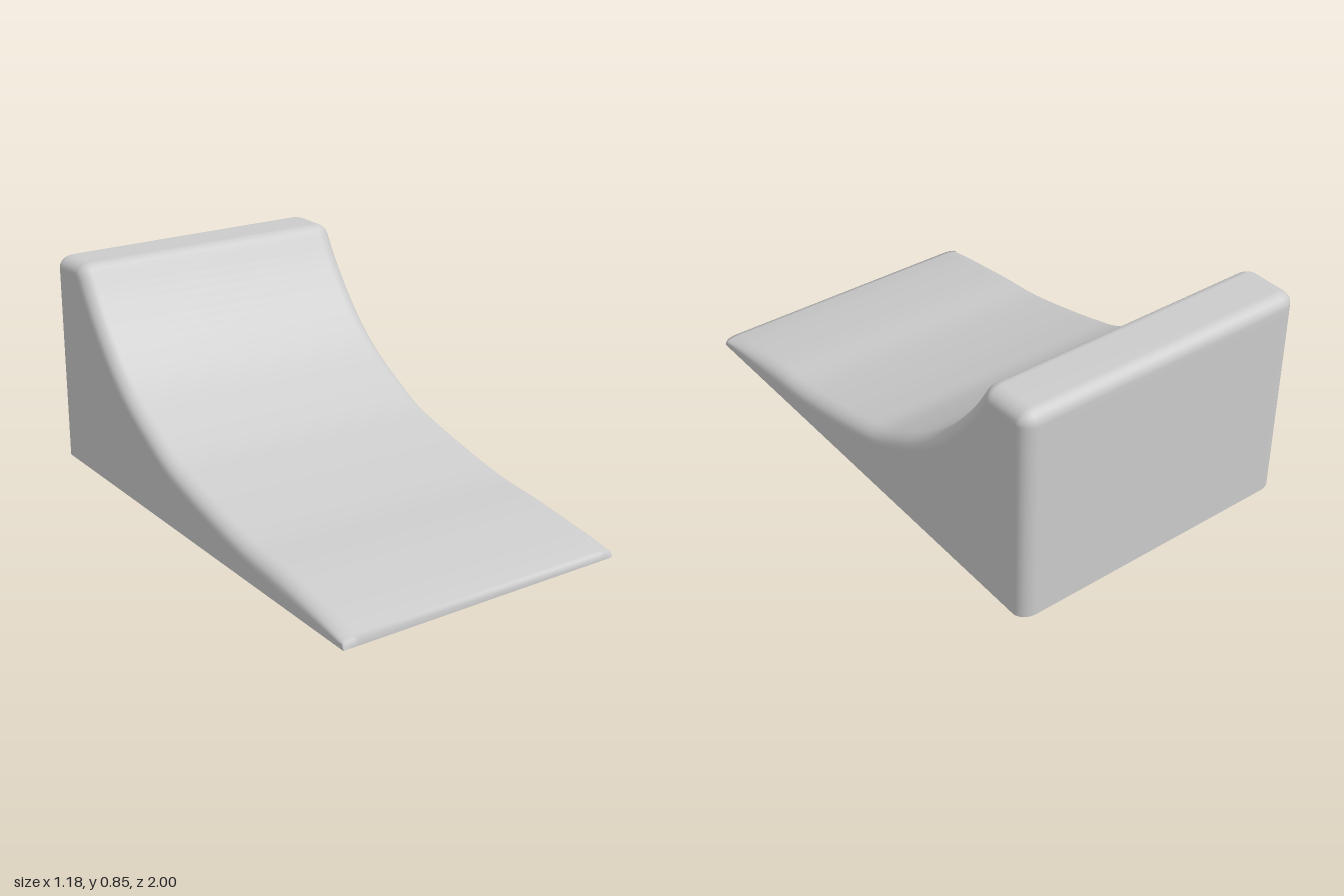
import * as THREE from 'three';

const HALF = 0.59;   // half width
const R = 0.05;      // edge rounding

// Side outline as (z, y): front lip, concave ramp, rounded top, back wall
function outline() {
  const ramp = new THREE.SplineCurve([
    [1, 0.03], [0.87, 0.06], [0.62, 0.1], [0.4, 0.122], [0.17, 0.168], [0, 0.21],
    [-0.13, 0.25], [-0.27, 0.322], [-0.4, 0.4], [-0.5, 0.48], [-0.6, 0.585],
    [-0.7, 0.715], [-0.768, 0.825],
  ].map(([z, y]) => new THREE.Vector2(z, y)));
  const pts = [new THREE.Vector2(1, 0), ...ramp.getPoints(48)];
  const arc = (cz, cy, from, to) => {
    for (let k = 0; k <= 6; k++) {
      const a = from + (to - from) * k / 6;
      pts.push(new THREE.Vector2(cz + R * Math.cos(a), cy + R * Math.sin(a)));
    }
  };
  arc(-0.813, 0.8, 0.65, Math.PI / 2);
  arc(-0.95, 0.8, Math.PI / 2, Math.PI);
  for (const y of [0.77, 0.4, 0.03, 0]) pts.push(new THREE.Vector2(-1, y));
  return pts;
}

// Columns across the width: side wall foot, rounded edge, rounded edge, side wall foot
function columns() {
  const half = [];
  for (let k = 0; k <= 6; k++) {
    const a = Math.PI / 2 * k / 6;
    half.push({ x: HALF - 0.06 + 0.06 * Math.sin(a), inset: 1 - Math.cos(a), foot: false });
  }
  half.push({ x: HALF, inset: 1, foot: true });
  return [...half.map(c => ({ ...c, x: -c.x })).reverse(), ...half];
}

// Open-bottomed shell: the outline swept across the width, shrinking at the sides
function shellGeometry() {
  const pts = outline(), cols = columns(), n = cols.length;
  const pos = [], index = [];
  pts.forEach((p, i) => {
    const before = pts[Math.max(i - 1, 0)], after = pts[Math.min(i + 1, pts.length - 1)];
    const t = p.clone().sub(before).normalize().add(after.clone().sub(p).normalize()).normalize();
    const r = p.x < -0.75 ? R : Math.min(R, 0.5 * p.y);
    for (const c of cols) {
      const z = p.x - t.y * r * c.inset;
      const y = Math.max(0, p.y + t.x * r * c.inset);
      pos.push(c.x, c.foot ? 0 : y, z);
    }
  });
  for (let i = 0; i < pts.length - 1; i++) {
    for (let j = 0; j < n - 1; j++) {
      const a = i * n + j, b = a + 1, c = a + n, d = c + 1;
      index.push(a, b, c, b, d, c);
    }
  }
  const g = new THREE.BufferGeometry();
  g.setAttribute('position', new THREE.Float32BufferAttribute(pos, 3));
  g.setIndex(index);
  g.computeVertexNormals();
  return g;
}

export function createModel() {
  const group = new THREE.Group();
  group.name = 'ramp';
  const material = new THREE.MeshStandardMaterial({ color: 0xcccccc, side: THREE.DoubleSide });
  const shell = new THREE.Mesh(shellGeometry(), material);
  shell.name = 'rampShell';
  group.add(shell);
  return group;
}
